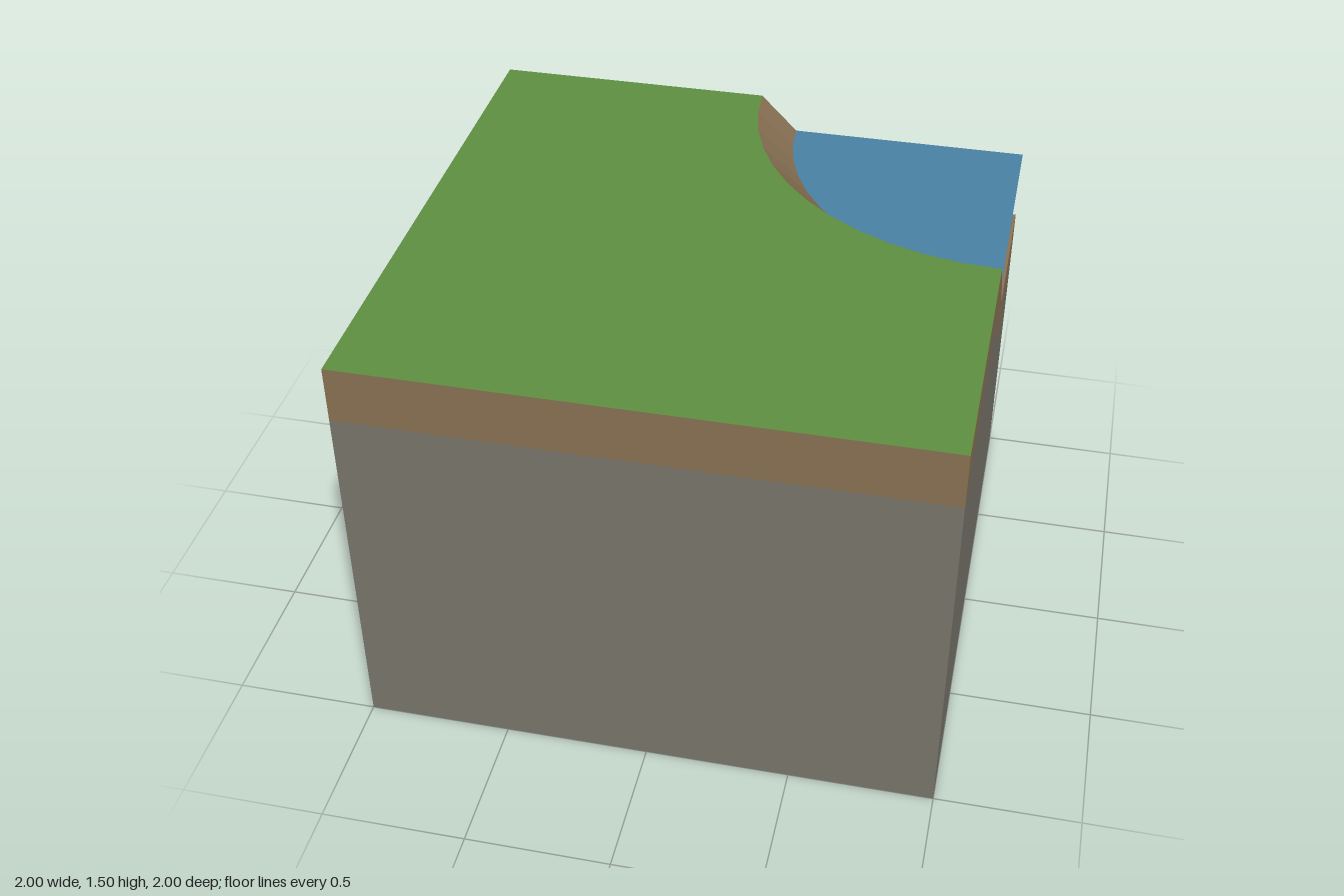
import * as THREE from 'three';

const SEG = 12;          // facets around the quarter-round bank
const TOP = 1.5, FLOOR = 1.1, WATER = 1.365, DIRT = 0.2;
const R_TOP = 1, R_FLOOR = 0.6, R_WATER = R_TOP - (TOP - WATER);

function material(name, color) {
  const m = new THREE.MeshStandardMaterial({ color, side: THREE.DoubleSide });
  m.name = name;
  return m;
}

function polygon(points) {
  return new THREE.ShapeGeometry(new THREE.Shape(points.map(([x, y]) => new THREE.Vector2(x, y))));
}

export function createModel() {
  const group = new THREE.Group();
  group.name = 'riverCornerTile';
  const grass = material('grass green', 0x5f9041);
  const dirt = material('dirt brown', 0x8b7355);
  const stone = material('stone grey', 0x7a766c);
  const water = material('water blue', 0x4a82a6);

  function add(name, geometry, mat, parent = group) {
    const mesh = new THREE.Mesh(geometry, mat);
    mesh.name = name;
    parent.add(mesh);
    return mesh;
  }

  // Side walls: a stone sheet with a dirt band following its top outline; the bottom is open
  function wall(name, profile, angle) {
    const side = new THREE.Group();
    side.name = name;
    const lower = profile.map(([u, y]) => [u, y - DIRT]);
    add(name + 'Stone', polygon([[-1, 0], [1, 0], ...[...lower].reverse()]), stone, side);
    add(name + 'Dirt', polygon([...lower, ...[...profile].reverse()]), dirt, side);
    side.children.forEach((m) => m.geometry.translate(0, 0, 1));
    side.rotation.y = angle;
    group.add(side);
  }
  const plain = [[-1, TOP], [1, TOP]];
  const notched = [[-1, TOP], [0, TOP], [R_TOP - R_FLOOR, FLOOR], [1, FLOOR]];
  const mirrored = notched.map(([u, y]) => [-u, y]).reverse();
  wall('frontWall', plain, 0);
  wall('outerWall', plain, -Math.PI / 2);
  wall('channelSideWall', notched, Math.PI / 2);
  wall('channelBackWall', mirrored, Math.PI);

  // Grass top with a quarter circle cut from the back corner
  const outline = [[-1, 1], [-1, -1], [1, -1]];
  for (let i = 0; i <= SEG; i++) {
    const a = 1.5 * Math.PI - (i / SEG) * Math.PI / 2;
    outline.push([1 + R_TOP * Math.cos(a), 1 + R_TOP * Math.sin(a)]);
  }
  add('grassTop', polygon(outline).rotateX(-Math.PI / 2).translate(0, TOP, 0), grass);

  // Sloping faceted bank
  const bank = new THREE.LatheGeometry(
    [new THREE.Vector2(R_TOP, TOP), new THREE.Vector2(R_FLOOR, FLOOR)],
    SEG, 1.5 * Math.PI, Math.PI / 2
  ).toNonIndexed();
  bank.computeVertexNormals();
  add('bank', bank.translate(1, 0, -1), dirt);

  // River bed and water surface are quarter discs
  const quarter = (radius, y) =>
    new THREE.CircleGeometry(radius, SEG, Math.PI, Math.PI / 2).rotateX(-Math.PI / 2).translate(1, y, -1);
  add('riverBed', quarter(R_FLOOR, FLOOR), dirt);
  add('waterSurface', quarter(R_WATER, WATER), water);

  return group;
}
